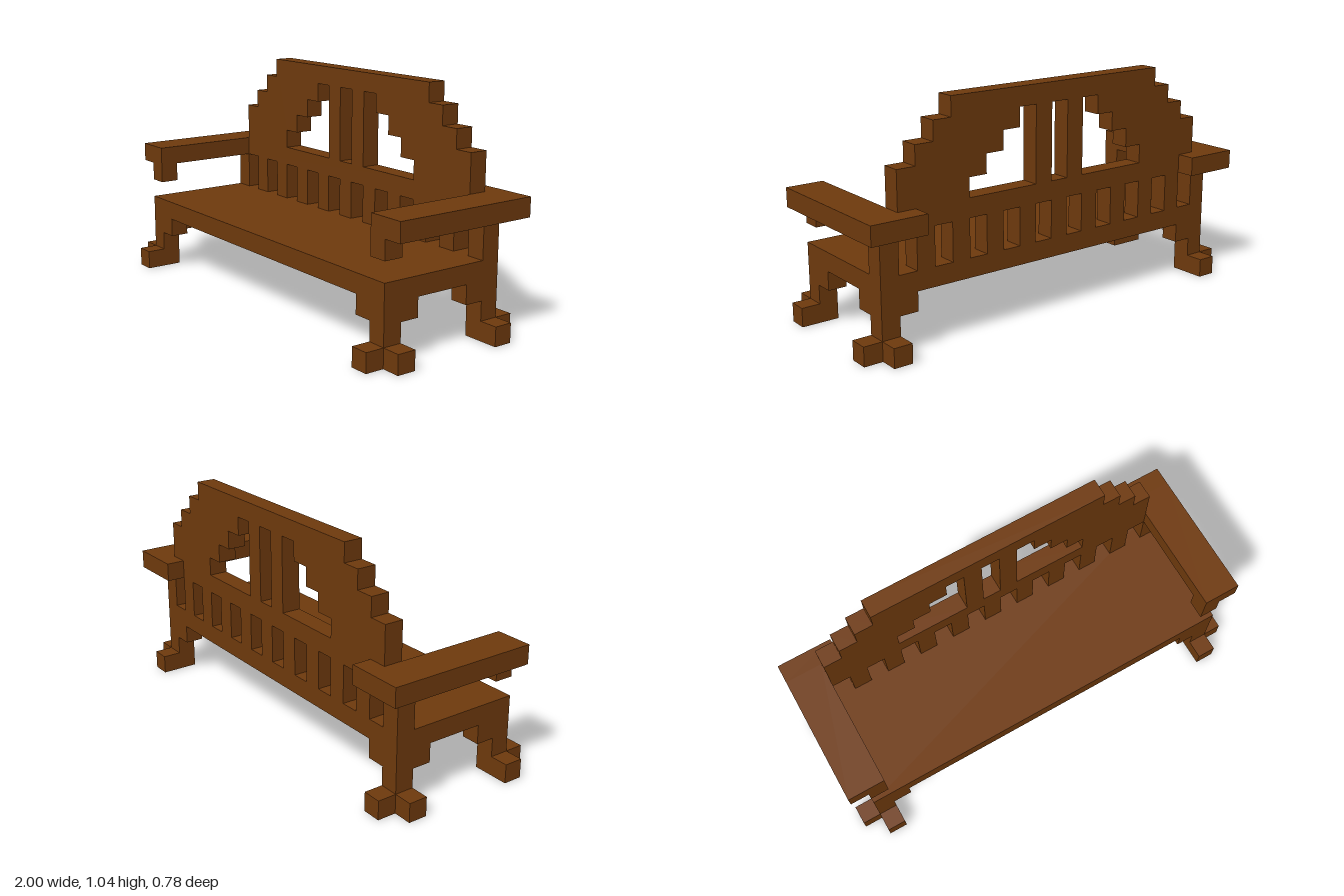
import * as THREE from 'three';

// One block of the bench's grid: 23 blocks wide, 12 high, 9 deep
const U = 2 / 23;

export function createModel() {
  const group = new THREE.Group();
  const wood = new THREE.MeshStandardMaterial({ color: 0x6f3a0d });
  wood.name = 'brown wood';

  // Box given by its limits, in blocks
  function box(name, x0, x1, y0, y1, z0, z1) {
    const geo = new THREE.BoxGeometry((x1 - x0) * U, (y1 - y0) * U, (z1 - z0) * U);
    const mesh = new THREE.Mesh(geo, wood);
    mesh.name = name;
    mesh.position.set((x0 + x1) / 2 * U, (y0 + y1) / 2 * U, (z0 + z1) / 2 * U);
    group.add(mesh);
  }
  // Same box, mirrored to the given sides of x and z
  function mirrored(name, sx, sz, x0, x1, y0, y1, z0, z1) {
    const [a, b] = [x0 * sx, x1 * sx].sort((p, q) => p - q);
    const [c, d] = [z0 * sz, z1 * sz].sort((p, q) => p - q);
    box(name, a, b, y0, y1, c, d);
  }

  // Seat
  box('seat', -10.5, 10.5, 3, 4, -3.5, 3.5);

  for (const sx of [-1, 1]) {
    const side = sx > 0 ? 'left' : 'right';
    // Legs with corner brackets and two splayed toes
    for (const sz of [-1, 1]) {
      const n = side + (sz > 0 ? 'Front' : 'Back');
      mirrored(n + 'Leg', sx, sz, 9.5, 10.5, 0, 3, 2.5, 3.5);
      mirrored(n + 'SideToe', sx, sz, 10.5, 11.5, 0, 1, 2.5, 3.5);
      mirrored(n + 'EndToe', sx, sz, 9.5, 10.5, 0, 1, 3.5, 4.5);
      mirrored(n + 'LongBracket', sx, sz, 8.5, 9.5, 2, 3, 2.5, 3.5);
      mirrored(n + 'ShortBracket', sx, sz, 9.5, 10.5, 2, 3, 1.5, 2.5);
    }
    // Armrest, its hooked back end, front drop and back post
    mirrored(side + 'Armrest', sx, 1, 9.5, 11.5, 6, 7, -3.5, 3.5);
    mirrored(side + 'ArmrestBackEnd', sx, 1, 8.5, 11.5, 6, 7, -4.5, -3.5);
    mirrored(side + 'ArmrestDrop', sx, 1, 9.5, 10.5, 5, 6, 2.5, 3.5);
    mirrored(side + 'BackPost', sx, 1, 9.5, 10.5, 4, 6, -3.5, -2.5);
  }

  // Row of short slats below the backrest
  for (let x = -8; x <= 8; x += 2) box('backSlat', x - 0.5, x + 0.5, 4, 6, -3.5, -2.5);

  // Stepped backrest with a centre slot and two stepped openings
  const points = (list, s = 1) => list.map(([x, y]) => new THREE.Vector2(x * U * s, y * U));
  const half = [[9.5, 6], [9.5, 9], [8.5, 9], [8.5, 10], [7.5, 10], [7.5, 11], [6.5, 11], [6.5, 12]];
  const outline = [...half, ...half.map(([x, y]) => [-x, y]).reverse()];
  const opening = [[1.5, 7], [5.5, 7], [5.5, 8], [4.5, 8], [4.5, 9], [3.5, 9],
    [3.5, 10], [2.5, 10], [2.5, 11], [1.5, 11]];
  const slot = [[-0.5, 7], [0.5, 7], [0.5, 11], [-0.5, 11]];
  const shape = new THREE.Shape(points(outline));
  shape.holes.push(
    new THREE.Path(points(slot)),
    new THREE.Path(points(opening)),
    new THREE.Path(points(opening, -1)),
  );
  const backrest = new THREE.Mesh(
    new THREE.ExtrudeGeometry(shape, { depth: U, bevelEnabled: false }), wood);
  backrest.name = 'backrest';
  backrest.position.z = -3.5 * U;
  group.add(backrest);

  return group;
}
